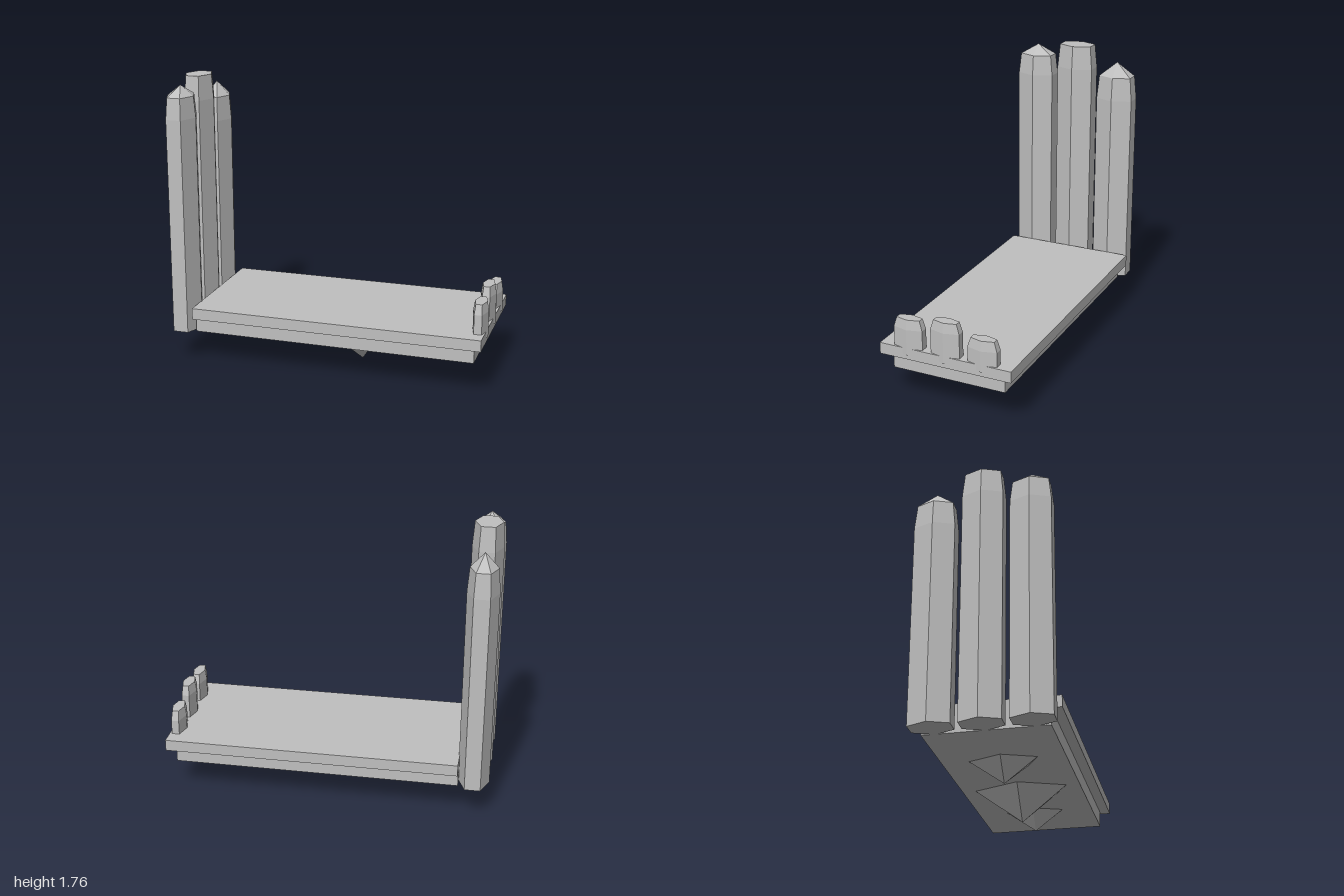
import * as THREE from 'three';

const stone = new THREE.MeshStandardMaterial({ color: 0xbfbfbf, flatShading: true });
stone.name = 'grey stone';

export function createModel() {
  const model = new THREE.Group();
  model.name = 'crystalBed';

  const add = (name, geometry, x, y, z) => {
    const mesh = new THREE.Mesh(geometry, stone);
    mesh.name = name;
    mesh.position.set(x, y, z);
    model.add(mesh);
  };

  const box = (name, x0, x1, y0, y1, halfZ) =>
    add(name, new THREE.BoxGeometry(x1 - x0, y1 - y0, 2 * halfZ), (x0 + x1) / 2, (y0 + y1) / 2, 0);

  // Six-sided prism with points on +x and -x; rings are [radius, height]
  const hexPrism = (name, x, z, rx, rz, rings) => {
    const profile = rings.map(([r, y]) => new THREE.Vector2(r, y));
    profile.unshift(new THREE.Vector2(0, rings[0][1]));
    if (rings.at(-1)[0] > 0) profile.push(new THREE.Vector2(0, rings.at(-1)[1]));
    const geometry = new THREE.LatheGeometry(profile, 6, Math.PI / 2)
      .scale(rx, 1, rz / Math.sin(Math.PI / 3)).toNonIndexed();
    geometry.computeVertexNormals();
    add(name, geometry, x, 0, z);
  };

  // Platform: wide top slab on a narrower base
  box('topSlab', -0.815, 0.99, 0.3, 0.37, 0.42);
  box('baseSlab', -0.815, 0.94, 0.2, 0.3, 0.36);

  // Headboard columns: flat-topped centre, pointed sides
  const bottom = [1, 0.2];
  hexPrism('headColumnCentre', -0.905, 0, 0.095, 0.12, [bottom, [1, 1.61], [0.88, 1.76]]);
  hexPrism('headColumnLeft', -0.905, 0.28, 0.095, 0.12, [bottom, [1, 1.54], [0.88, 1.67], [0, 1.735]]);
  hexPrism('headColumnRight', -0.905, -0.28, 0.095, 0.12, [bottom, [1, 1.43], [0.88, 1.58], [0, 1.67]]);

  // Short footboard posts: [z, top]
  for (const [z, top] of [[0.238, 0.55], [0, 0.58], [-0.235, 0.52]]) {
    hexPrism('footPost', 0.951, z, 0.047, 0.092, [[1, 0.33], [1, top - 0.06], [0.8, top]]);
  }

  // Five-sided spikes under the base: [x, tip height, x radius, z radius]
  for (const [x, tip, rx, rz] of [[-0.342, 0.065, 0.115, 0.21], [0.163, 0, 0.163, 0.293], [0.584, 0.08, 0.098, 0.187]]) {
    const height = 0.2 - tip;
    const geometry = new THREE.CylinderGeometry(1, 0, height, 5, 1, false, -Math.PI / 2).scale(rx, 1, rz);
    add('spike', geometry, x, tip + height / 2, 0);
  }

  return model;
}
